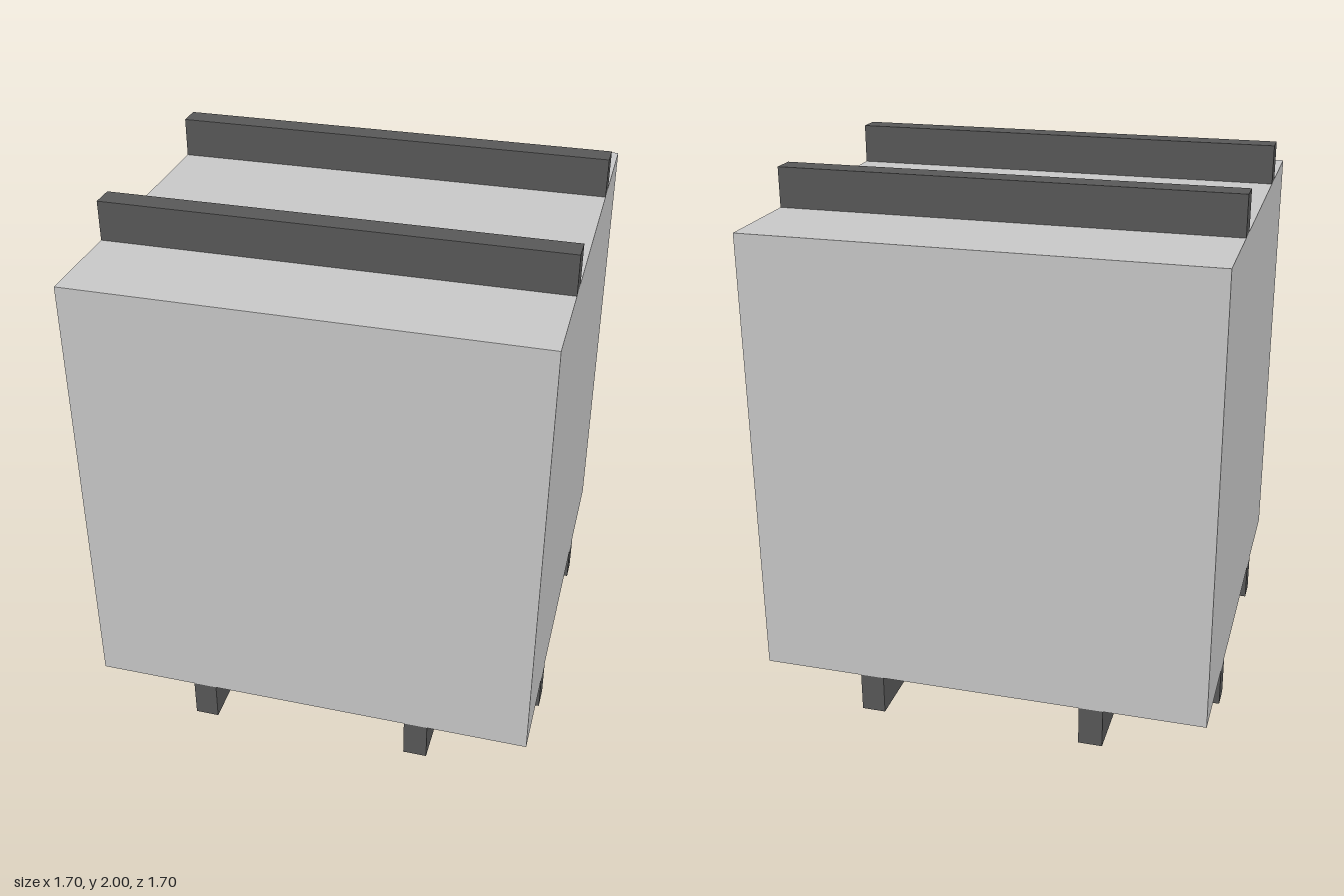
import * as THREE from 'three';

export function createModel() {
  const model = new THREE.Group();
  const bodyMaterial = new THREE.MeshStandardMaterial({ color: 0xcccccc });
  const railMaterial = new THREE.MeshStandardMaterial({ color: 0x5a5a5a });

  const size = 1.7;      // edge of the cube
  const railH = 0.15;
  const railW = 0.09;
  const offset = 0.425;  // rail distance from the centre line

  function addBox(name, material, [w, h, d], [x, y, z]) {
    const mesh = new THREE.Mesh(new THREE.BoxGeometry(w, h, d), material);
    mesh.name = name;
    mesh.position.set(x, y, z);
    model.add(mesh);
  }

  // Cube body
  addBox('body', bodyMaterial, [size, size, size], [0, 1, 0]);

  for (const [side, s] of [['Front', 1], ['Back', -1]]) {
    // Two parallel rails on top, and two below in the same direction
    addBox('top' + side + 'Rail', railMaterial, [size, railH, railW], [0, 2 - railH / 2, s * offset]);
    addBox('bottom' + side + 'Rail', railMaterial, [size, railH, railW], [0, railH / 2, s * offset]);
  }

  // Crossing rails below, completing the base grid
  for (const [side, s] of [['Left', 1], ['Right', -1]]) {
    addBox('bottom' + side + 'Rail', railMaterial, [railW, railH, size], [s * offset, railH / 2, 0]);
  }

  return model;
}
